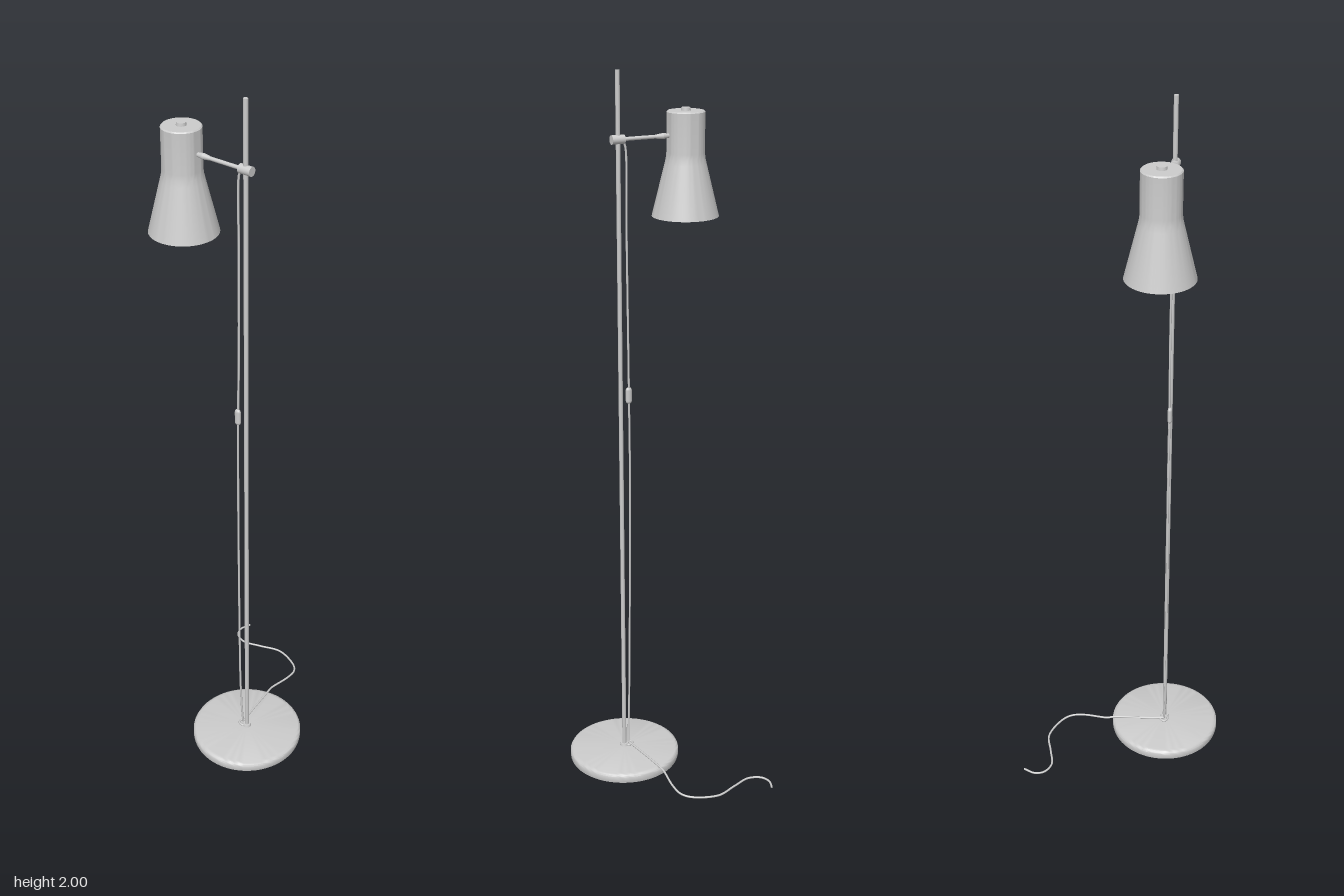
import * as THREE from 'three';
import { toCreasedNormals } from 'three/addons/utils/BufferGeometryUtils.js';

const POLE_X = 0.069, SHADE_X = -0.128, Z = 0.107, ARM_Y = 1.826;

export function createModel() {
  const lamp = new THREE.Group();
  lamp.name = 'floorLamp';
  const grey = new THREE.MeshStandardMaterial({ color: 0xcccccc });
  const greyDouble = new THREE.MeshStandardMaterial({ color: 0xcccccc, side: THREE.DoubleSide });

  const add = (name, geometry, x = 0, y = 0, z = 0, material = grey) => {
    const mesh = new THREE.Mesh(geometry, material);
    mesh.name = name;
    mesh.position.set(x, y, z);
    lamp.add(mesh);
    return mesh;
  };
  const lathe = (points, segments) => toCreasedNormals(
    new THREE.LatheGeometry(points.map(([r, y]) => new THREE.Vector2(r, y)), segments), 0.6);
  const cable = (name, points, segments) => add(name, new THREE.TubeGeometry(
    new THREE.CatmullRomCurve3(points.map(p => new THREE.Vector3(...p))), segments, 0.003, 8));
  // rod lying along x
  const rod = (name, r0, r1, x0, x1, y = ARM_Y) => {
    const geometry = new THREE.CylinderGeometry(r1, r0, x1 - x0, 24);
    geometry.rotateZ(-Math.PI / 2);
    return add(name, geometry, (x0 + x1) / 2, y, Z);
  };

  // Heavy round base with softened rims
  add('base', lathe([[0, 0], [0.157, 0], [0.16, 0.002], [0.161, 0.006], [0.161, 0.021],
    [0.159, 0.025], [0.154, 0.028], [0.148, 0.029], [0, 0.031]], 72), POLE_X, 0, Z);

  // Pole and its foot collar
  add('pole', new THREE.CylinderGeometry(0.006, 0.006, 1.97, 24), POLE_X, 1.015, Z);
  add('poleCollar', new THREE.CylinderGeometry(0.011, 0.013, 0.008, 24), POLE_X, 0.034, Z);

  // Sliding clamp and horizontal arm
  rod('clamp', 0.012, 0.012, 0.052, 0.088);
  rod('arm', 0.005, 0.005, -0.06, 0.056);
  rod('armSocket', 0.005, 0.008, -0.082, -0.06);
  rod('armSleeve', 0.008, 0.005, -0.06, -0.038);

  // Shade: straight neck flaring to an open cone, with a thin wall
  add('shade', lathe([[0, 1.888], [0.048, 1.888], [0.051, 1.885], [0.051, 1.78], [0.0525, 1.765],
    [0.056, 1.75], [0.09, 1.612], [0.088, 1.612], [0.054, 1.75], [0.0505, 1.765],
    [0.049, 1.78], [0.049, 1.885], [0, 1.885]], 64), SHADE_X, 0, Z, greyDouble);
  add('shadeCap', new THREE.CylinderGeometry(0.012, 0.013, 0.008, 32), SHADE_X, 1.892, Z);

  // Hanging cable with an inline switch
  cable('hangingCable', [[0.054, 1.822, Z], [0.048, 1.805, Z], [0.047, 1.6, Z], [0.045, 1.3, Z],
    [0.043, 1.13, 0.109], [0.042, 0.9, 0.109], [0.045, 0.5, 0.111], [0.049, 0.2, 0.112],
    [0.053, 0.08, 0.11], [0.055, 0.034, Z]], 120);
  const switchBody = new THREE.CapsuleGeometry(0.009, 0.03, 6, 16);
  switchBody.scale(1, 1, 0.7);
  add('cableSwitch', switchBody, 0.043, 1.13, 0.11);

  // Cable grommet on the base
  const grommet = add('cableGrommet', new THREE.TorusGeometry(0.011, 0.0035, 10, 28), 0.055, 0.033, Z);
  grommet.rotation.x = Math.PI / 2;

  // Cable leaving the base and winding over the floor
  cable('floorCable', [[0.055, 0.036, Z], [0.048, 0.035, 0.07], [0.038, 0.034, 0], [0.031, 0.032, -0.05],
    [0.028, 0.029, -0.068], [0.035, 0.022, -0.14], [0.03, 0.017, -0.18], [0.008, 0.014, -0.205],
    [-0.065, 0.012, -0.23], [-0.13, 0.012, -0.21], [-0.185, 0.012, -0.194], [-0.22, 0.012, -0.208],
    [-0.231, 0.012, -0.235], [-0.22, 0.012, -0.27]], 140);

  return lamp;
}
